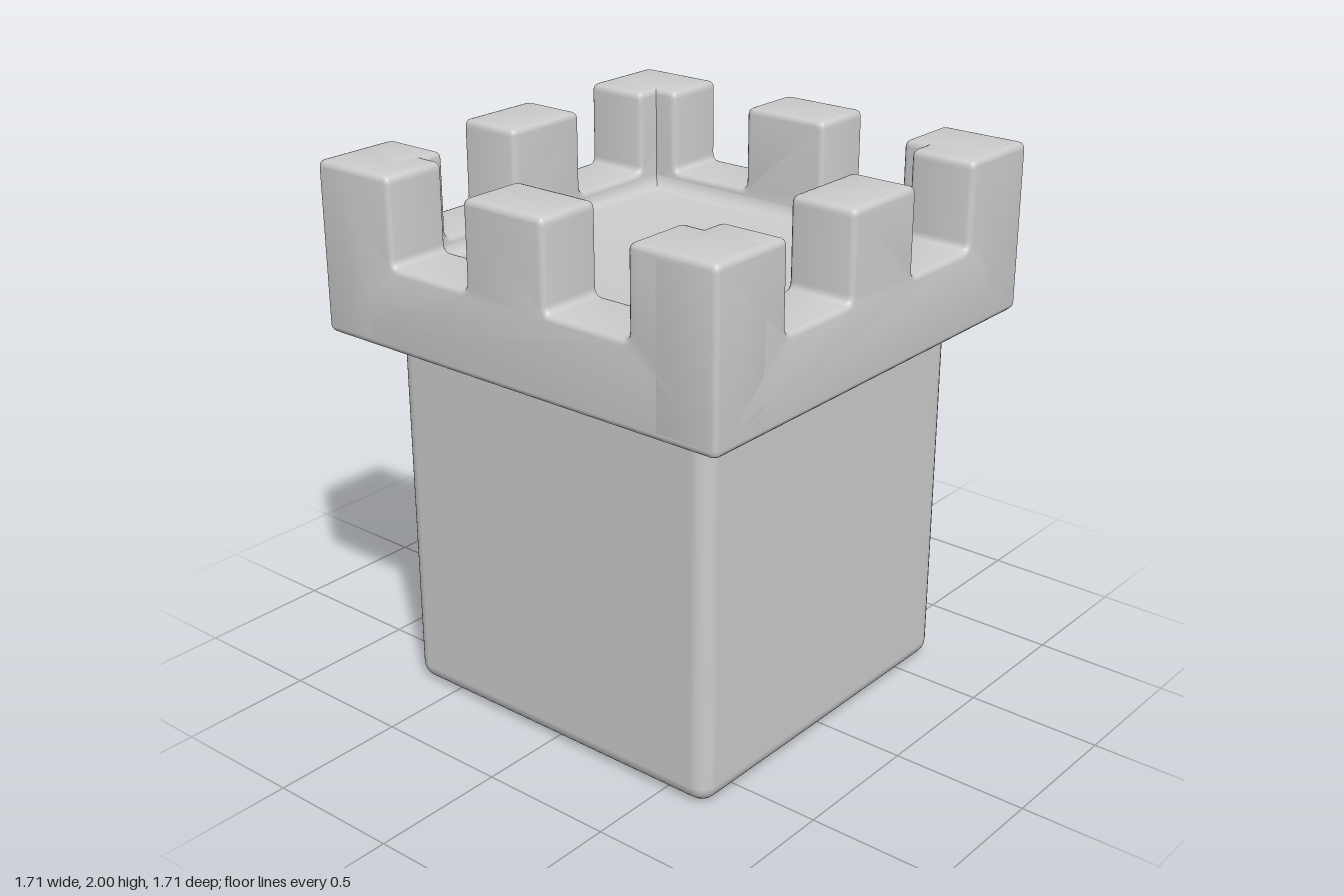
import * as THREE from 'three';
import { toCreasedNormals } from 'three/addons/utils/BufferGeometryUtils.js';
import { RoundedBoxGeometry } from 'three/addons/geometries/RoundedBoxGeometry.js';

const BODY = 0.69;      // half width of the tower body
const OUTER = 0.855;    // half width of the crown
const INNER = 0.605;    // inner face of the crown walls
const LEDGE = 1.39;     // underside of the crown
const NOTCH = 1.69;     // bottom of the gaps
const FLOOR = 1.62;     // roof floor
const TOP = 2;

const material = new THREE.MeshStandardMaterial({ color: 0xcccccc });

function addMesh(parent, name, geometry) {
  const mesh = new THREE.Mesh(geometry, material);
  mesh.name = name;
  parent.add(mesh);
  return mesh;
}

// Closed outline whose corners are rounded by radius r
function roundedShape(points, r) {
  const shape = new THREE.Shape();
  const corners = points.map(([x, y]) => new THREE.Vector2(x, y));
  corners.forEach((p, i) => {
    const prev = corners[(i + corners.length - 1) % corners.length];
    const next = corners[(i + 1) % corners.length];
    const a = p.clone().add(prev.clone().sub(p).setLength(r));
    const b = p.clone().add(next.clone().sub(p).setLength(r));
    if (i === 0) shape.moveTo(a.x, a.y);
    else shape.lineTo(a.x, a.y);
    shape.quadraticCurveTo(p.x, p.y, b.x, b.y);
  });
  shape.closePath();
  return shape;
}

// One battlemented wall: two corner merlons and a middle one
function wallGeometry() {
  const bevel = 0.02;
  const right = [[OUTER, LEDGE], [OUTER, TOP], [0.515, TOP], [0.515, NOTCH], [0.172, NOTCH], [0.172, TOP]];
  const left = right.map(([x, y]) => [-x, y]).reverse();
  const geometry = new THREE.ExtrudeGeometry(roundedShape([...right, ...left], 0.028), {
    depth: OUTER - INNER - 2 * bevel,
    bevelThickness: bevel,
    bevelSize: bevel,
    bevelOffset: -bevel,
    bevelSegments: 3,
    curveSegments: 4,
  });
  geometry.translate(0, 0, INNER + bevel);
  return toCreasedNormals(geometry, 0.7);
}

// Square roof floor with a cove curving up into the walls
function floorGeometry() {
  const r = 0.055;
  const points = [];
  for (let i = 0; i <= 4; i++) {
    const a = (i / 4) * Math.PI / 2;
    points.push(new THREE.Vector2(
      (INNER + 0.002 - r + r * Math.cos(a)) * Math.SQRT2,
      FLOOR + r - r * Math.sin(a)));
  }
  points.push(new THREE.Vector2(0, FLOOR));
  const geometry = new THREE.LatheGeometry(points, 4);
  geometry.rotateY(Math.PI / 4);
  return toCreasedNormals(geometry, 0.7);
}

export function createModel() {
  const tower = new THREE.Group();
  tower.name = 'tower';

  // Body block with soft edges
  const body = addMesh(tower, 'body', new RoundedBoxGeometry(BODY * 2, LEDGE, BODY * 2, 3, 0.065));
  body.position.y = LEDGE / 2;

  // Crown: the same wall on all four sides
  const crown = new THREE.Group();
  crown.name = 'crown';
  tower.add(crown);
  const wall = wallGeometry();
  ['frontWall', 'leftWall', 'backWall', 'rightWall'].forEach((name, i) => {
    addMesh(crown, name, wall).rotation.y = i * Math.PI / 2;
  });
  addMesh(crown, 'roofFloor', floorGeometry());

  // Underside closing the crown above the body
  const underside = addMesh(crown, 'underside', new THREE.BoxGeometry(INNER * 2 + 0.06, 0.1, INNER * 2 + 0.06));
  underside.position.y = LEDGE + 0.05;

  return tower;
}
